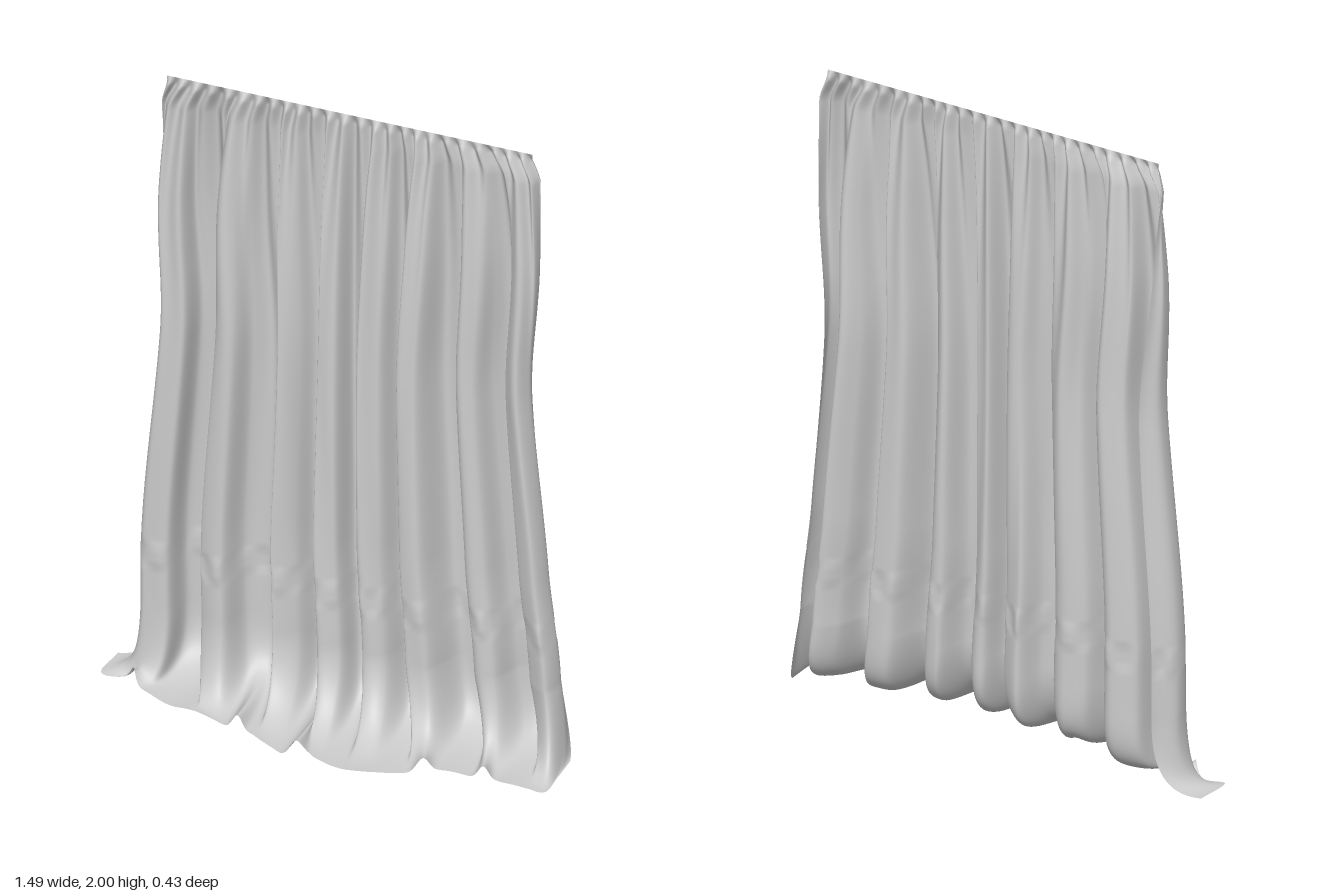
import * as THREE from 'three';
import { ParametricGeometry } from 'three/addons/geometries/ParametricGeometry.js';

// Plan of the folds, left to right: hanging x, z and the matching hem x, z on the floor
const FOLDS = [
  [-0.59, -0.19, -0.74, -0.15], [-0.645, -0.12, -0.735, -0.02], [-0.62, -0.06, -0.65, -0.03],
  [-0.55, -0.07, -0.60, 0.02], [-0.53, -0.17, -0.53, 0.05], [-0.46, -0.205, -0.47, 0.07],
  [-0.41, -0.15, -0.42, 0.08], [-0.44, -0.06, -0.37, 0.09], [-0.37, -0.05, -0.32, 0.10],
  [-0.33, -0.14, -0.27, 0.115], [-0.27, -0.17, -0.23, 0.12], [-0.21, -0.12, -0.19, 0.14],
  [-0.21, -0.05, -0.15, 0.16], [-0.15, -0.10, -0.10, 0.18], [-0.11, -0.17, -0.06, 0.20],
  [-0.05, -0.14, -0.03, 0.195], [-0.07, -0.05, 0.01, 0.18], [-0.01, -0.06, 0.04, 0.195],
  [0.02, -0.15, 0.08, 0.205], [0.07, -0.13, 0.12, 0.21], [0.07, -0.05, 0.16, 0.215],
  [0.13, -0.07, 0.21, 0.215], [0.17, -0.165, 0.25, 0.20], [0.22, -0.14, 0.29, 0.175],
  [0.21, -0.045, 0.33, 0.15], [0.27, -0.045, 0.37, 0.125], [0.33, -0.165, 0.42, 0.115],
  [0.40, -0.175, 0.48, 0.105], [0.41, -0.08, 0.53, 0.10], [0.47, -0.07, 0.57, 0.10],
  [0.51, -0.17, 0.61, 0.11], [0.57, -0.205, 0.65, 0.11], [0.58, -0.09, 0.69, 0.105],
  [0.64, -0.06, 0.735, 0.10], [0.66, -0.12, 0.735, 0.0], [0.63, -0.18, 0.73, -0.10],
];
const HEM_RIDGES = [-0.63, -0.24, -0.02, 0.36, 0.54];
const ROD_Z = -0.12, BEND_Y = 0.24, FLOOR_START = 0.78;

const hangCurve = new THREE.CatmullRomCurve3(FOLDS.map(p => new THREE.Vector3(p[0], 0, p[1])), false, 'centripetal');
const hemCurve = new THREE.CatmullRomCurve3(FOLDS.map(p => new THREE.Vector3(p[2], 0, p[3])), false, 'centripetal');
const a = new THREE.Vector3(), b = new THREE.Vector3();
const { lerp, smoothstep } = THREE.MathUtils;

// Position of the hanging cloth at height y
function hang(u, y, target) {
  const drop = 2 - y;
  const open = 1 - Math.exp(-drop * 3);
  const depth = 1.05 * (1 - Math.exp(-drop * 2.2));
  const width = lerp(0.9, 1, smoothstep(1.35 - y, 0, 1));
  hangCurve.getPoint(u, a);
  let x = lerp(lerp(-0.57, 0.60, u), a.x * width, open);
  // side edges swell below the rod, the right one flares near the floor
  x += 0.03 * (2 * u - 1) * smoothstep(drop, 0, 0.1) * (1 - smoothstep(drop, 0.35, 0.85));
  x += 0.03 * u * smoothstep(0.6 - y, 0, 0.4);
  let z = ROD_Z + (a.z - ROD_Z) * depth;
  // gathers below the rod, fading downwards
  const gather = Math.min(1, drop / 0.03) * Math.exp(-drop * 2);
  z += 0.015 * gather * Math.sin(u * Math.PI * 50 + 0.8 * Math.sin(u * 19));
  // soft creases
  z += 0.004 * open * Math.sin(u * 140 + y * 2 + Math.sin(y * 3 + u * 9));
  // puckered hem band
  const band = smoothstep(y, 0.365, 0.39) * (1 - smoothstep(y, 0.435, 0.46));
  z += 0.004 * band * Math.sin(u * 170 + 2 * Math.sin(u * 31));
  return target.set(x, y, z);
}

function cloth(u, v, target) {
  if (v <= FLOOR_START) return hang(u, lerp(2, BEND_Y, v / FLOOR_START), target);
  // bend forward and trail on the floor; the rear folds drop straighter
  const t = (v - FLOOR_START) / (1 - FLOOR_START), s = 1 - t;
  hang(u, BEND_Y, target);
  hemCurve.getPoint(u, b);
  const rear = smoothstep(-target.z, 0.04, 0.2);
  const x = lerp(target.x, b.x, t ** lerp(2, 0.8, u));
  const z = lerp(target.z, b.z, t ** lerp(1.7, 2.8, rear));
  let lift = 0;
  for (const c of HEM_RIDGES) lift += 0.042 * Math.exp(-(((b.x - c) / 0.022) ** 2));
  const wave = 0.005 * (1 + Math.sin(b.x * 31 + 1));
  const y = BEND_Y * s * s + (lift + wave) * t * t;
  return target.set(x + 0.012 * t * s * Math.sin(b.x * 40), y, z);
}

export function createModel() {
  const model = new THREE.Group();
  model.name = 'curtain';
  const fabric = new THREE.MeshStandardMaterial({ color: 0xcccccc, side: THREE.DoubleSide });
  fabric.name = 'light grey fabric';
  const drape = new THREE.Mesh(new ParametricGeometry(cloth, 440, 130), fabric);
  drape.name = 'drape';
  model.add(drape);
  return model;
}
